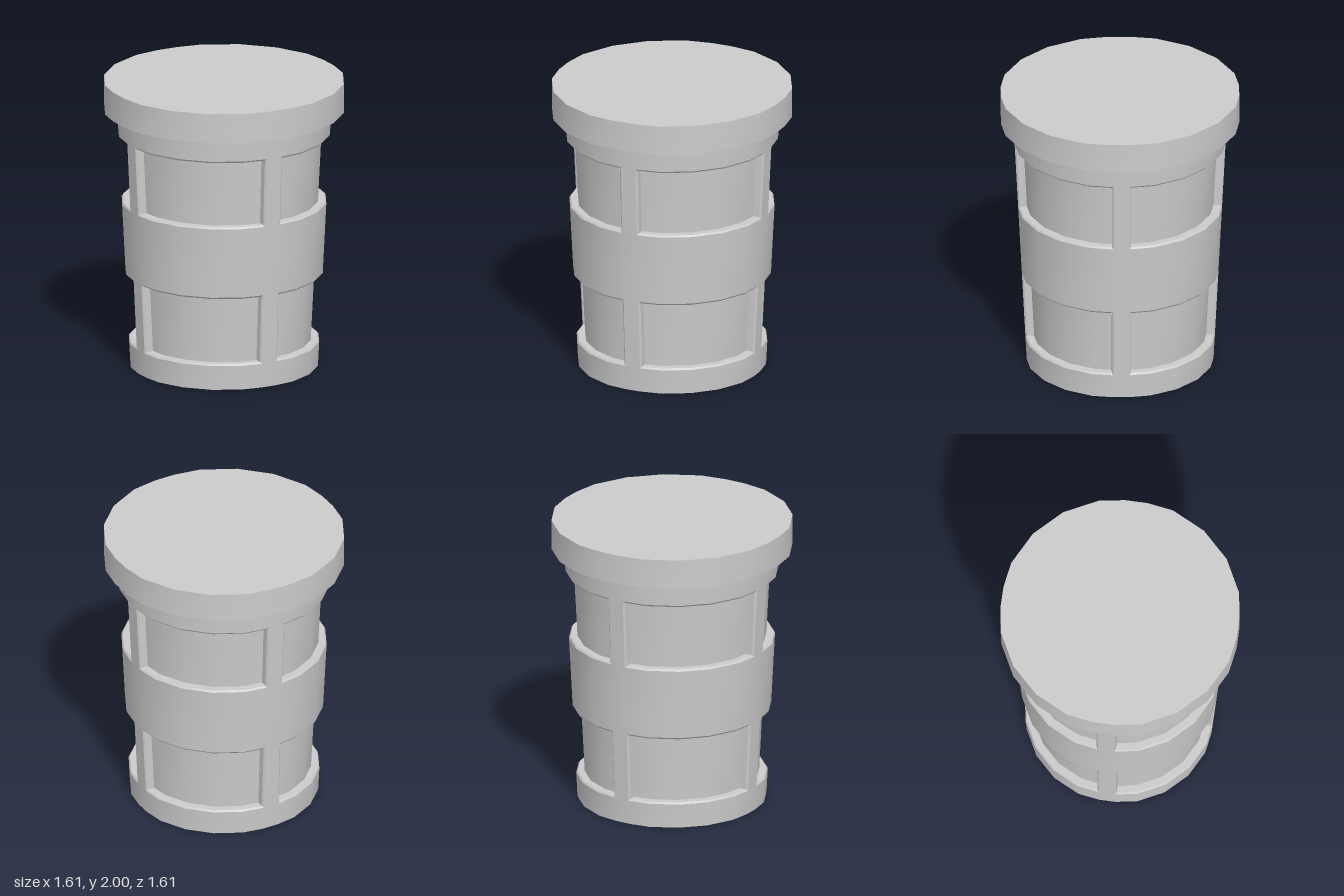
import * as THREE from 'three';
import { toCreasedNormals } from 'three/addons/utils/BufferGeometryUtils.js';

const CORNER = Math.tan(Math.PI / 20);
const POST = 0.055; // half width of the posts
const bodyRadius = (y) => 0.64 + 0.05 * y;

// One quarter of a 20-sided outline whose corner on each axis is cut to a flat of half width w
function quarter(q, R, w, y) {
  const local = [[R - w * CORNER, w]];
  for (let i = 1; i < 5; i++) local.push([R * Math.cos(i * Math.PI / 10), R * Math.sin(i * Math.PI / 10)]);
  local.push([w, R - w * CORNER]);
  return local.map(([a, b]) =>
    new THREE.Vector3(a, y, -b).applyAxisAngle(new THREE.Vector3(0, 1, 0), q * Math.PI / 2));
}

const ring = (R, w, y) => [0, 1, 2, 3].flatMap((q) => quarter(q, R, w, y));

// Collects faces and turns them into a mesh, smooth around the barrel with sharp edges
function builder() {
  const pos = [];
  const tri = (...p) => p.forEach((v) => pos.push(v.x, v.y, v.z));
  const quad = (a, b, c, d) => { tri(a, b, c); tri(a, c, d); };
  const strip = (low, high, closed) => {
    const n = low.length;
    for (let i = 0; i < (closed ? n : n - 1); i++) {
      const j = (i + 1) % n;
      quad(low[i], low[j], high[j], high[i]);
    }
  };
  const disc = (loop, up) => {
    const c = new THREE.Vector3(0, loop[0].y, 0);
    loop.forEach((p, i) => {
      const n = loop[(i + 1) % loop.length];
      up ? tri(c, p, n) : tri(c, n, p);
    });
  };
  const mesh = (name) => {
    const g = new THREE.BufferGeometry();
    g.setAttribute('position', new THREE.Float32BufferAttribute(pos, 3));
    const m = new THREE.Mesh(toCreasedNormals(g, 0.5), new THREE.MeshStandardMaterial({ color: 0xcccccc }));
    m.name = name;
    return m;
  };
  return { quad, strip, disc, mesh };
}

export function createModel() {
  const group = new THREE.Group();
  group.name = 'taperedBin';
  const windows = [[0.17, 0.66], [1.15, 1.635]];
  const bodyRing = (y) => ring(bodyRadius(y), POST, y);

  // Solid bands above, between and below the panel rows
  const bands = builder();
  [[0, 0.17], [0.66, 1.15], [1.635, 1.8]].forEach(([a, b]) => bands.strip(bodyRing(a), bodyRing(b), true));
  bands.disc(bodyRing(0), false);
  group.add(bands.mesh('bodyBands'));

  const posts = builder();
  const panels = builder();
  for (const [y0, y1] of windows) {
    const low = bodyRing(y0), high = bodyRing(y1);
    // Section through a recess: chamfer, sill, panel, lintel, chamfer as [y, depth, half gap]
    const c = 0.012;
    const section = [
      [y0, 0, POST], [y0 + c, 0.01, POST + 0.01], [y0 + c, 0.058, POST + 0.01],
      [y1 - c, 0.058, POST + 0.01], [y1 - c, 0.01, POST + 0.01], [y1, 0, POST],
    ];
    for (let q = 0; q < 4; q++) {
      // Post between this quarter and the next
      const e = q * 6 + 5, s = (e + 1) % 24;
      posts.quad(low[e], low[s], high[s], high[e]);

      // Recessed panel with its frame
      const rows = section.map(([y, d, w]) => quarter(q, bodyRadius(y) - d, w, y));
      for (let i = 0; i < 5; i++) panels.strip(rows[i], rows[i + 1], false);

      // Chamfer and wall along each post
      for (const i of [0, 1]) {
        const [a, b, t, u] = [rows[i], rows[i + 1], rows[4 - i], rows[5 - i]];
        panels.quad(a[0], b[0], t[0], u[0]);
        panels.quad(u[5], t[5], b[5], a[5]);
      }
    }
  }
  group.add(posts.mesh('posts'), panels.mesh('recessedPanels'));

  // Overhanging lid
  const lid = builder();
  const lidLow = ring(0.817, 0.075, 1.795), lidHigh = ring(0.817, 0.075, 2);
  lid.strip(lidLow, lidHigh, true);
  lid.disc(lidLow, false);
  lid.disc(lidHigh, true);
  group.add(lid.mesh('lid'));

  return group;
}
